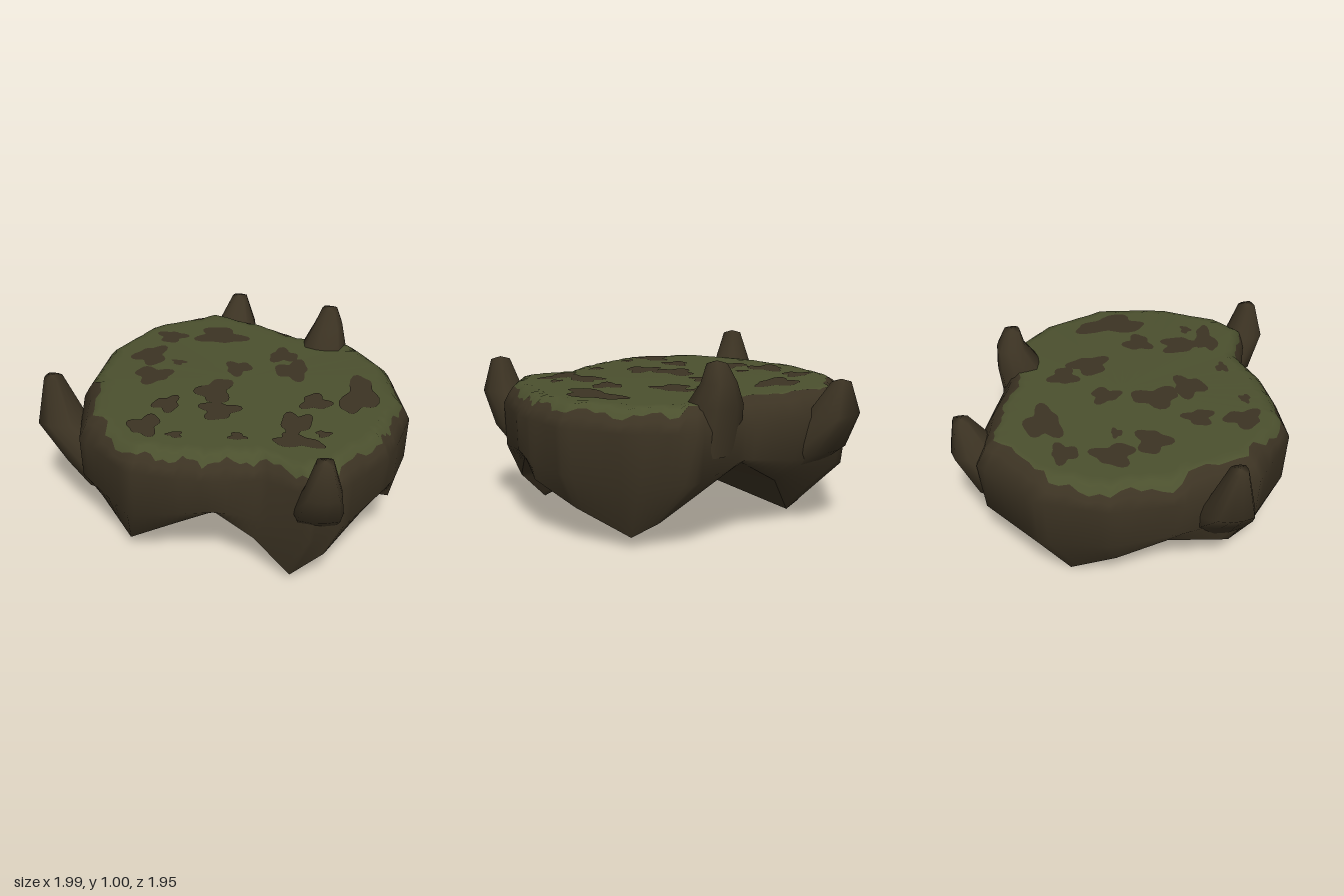
import * as THREE from 'three';

const rock = new THREE.MeshStandardMaterial({ color: 0x3c3323 });
rock.name = 'rockBrown';
const moss = new THREE.MeshStandardMaterial({ color: 0x4b502e });
moss.name = 'mossGreen';

const TOP = 0.775;

// Rim columns: shoulder x, z, then the lower edge point x, y, z
const columns = [
  [1, 0, 0.9, 0.2, 0], [0.97, 0.28, 0.94, 0.31, 0.28], [0.94, 0.42, 0.89, 0.41, 0.42],
  [0.77, 0.74, 0.67, 0.2, 0.73], [0.62, 0.86, 0.49, 0.03, 0.74], [0.34, 0.78, 0.29, 0.24, 0.74],
  [0.1, 0.86, 0.09, 0.42, 0.8], [-0.1, 0.88, -0.13, 0.29, 0.78], [-0.36, 0.88, -0.42, 0.07, 0.68],
  [-0.7, 0.63, -0.68, 0.22, 0.48], [-0.83, 0.2, -0.78, 0.36, 0.12], [-0.84, -0.2, -0.73, 0.22, -0.15],
  [-0.69, -0.58, -0.54, 0, -0.38], [-0.35, -0.85, -0.27, 0.03, -0.5], [-0.04, -0.79, 0, 0.28, -0.62],
  [0.3, -0.66, 0.29, 0.44, -0.62], [0.63, -0.62, 0.66, 0.14, -0.38], [0.86, -0.37, 0.76, 0.06, -0.27],
];

// Horn sections from the buried root up: x, y, z, half width
const horns = {
  rightHorn: [[-0.55, 0.3, 0.43, 0.16], [-0.66, 0.45, 0.43, 0.17], [-0.88, 0.64, 0.43, 0.115], [-0.9, 0.9, 0.45, 0.045]],
  frontHorn: [[0.6, 0.32, 0.6, 0.1], [0.63, 0.5, 0.75, 0.13], [0.67, 0.69, 0.87, 0.095], [0.675, 0.87, 0.88, 0.045]],
  backHorn: [[-0.2, 0.28, -0.5, 0.14], [-0.2, 0.45, -0.7, 0.17], [-0.2, 0.66, -0.86, 0.12], [-0.19, 0.84, -0.91, 0.045]],
  rearLeftHorn: [[0.42, 0.5, -0.5, 0.14], [0.42, 0.76, -0.55, 0.125], [0.435, 0.88, -0.59, 0.08], [0.44, 0.98, -0.58, 0.045]],
};

// Bare patches on the moss: x, z, half width, half depth
const patches = [
  [-0.48, -0.39, 0.08, 0.07], [-0.2, -0.47, 0.14, 0.1], [-0.53, -0.13, 0.09, 0.11], [-0.45, 0.09, 0.1, 0.09],
  [0.22, -0.31, 0.08, 0.08], [0.31, -0.15, 0.09, 0.11], [0, -0.1, 0.07, 0.08], [0.72, 0.04, 0.09, 0.2],
  [-0.06, 0.18, 0.09, 0.13], [0.01, 0.38, 0.1, 0.09], [0.5, 0.17, 0.08, 0.08], [-0.28, 0.38, 0.07, 0.08],
  [0.44, 0.42, 0.08, 0.12], [0.48, 0.58, 0.13, 0.06], [-0.33, 0.62, 0.08, 0.1],
  [-0.35, -0.09, 0.04, 0.03], [0.17, 0.61, 0.045, 0.035], [-0.15, 0.67, 0.04, 0.03], [0.6, 0.48, 0.04, 0.03],
];

// Joins closed rings of points, ordered from bottom to top
function loft(rings, splitAt = rings.length - 1) {
  const n = rings[0].length, index = [];
  for (let r = 0; r < rings.length - 1; r++) {
    for (let i = 0; i < n; i++) {
      const a = r * n + i, b = r * n + (i + 1) % n;
      index.push(a, a + n, b, a + n, b + n, b);
    }
  }
  const g = new THREE.BufferGeometry();
  g.setAttribute('position', new THREE.Float32BufferAttribute(rings.flat(2), 3));
  g.setIndex(index);
  g.addGroup(0, splitAt * n * 6, 0);
  g.addGroup(splitAt * n * 6, index.length - splitAt * n * 6, 1);
  g.computeVertexNormals();
  return g;
}

function add(group, name, geometry, material) {
  const mesh = new THREE.Mesh(geometry, material);
  mesh.name = name;
  group.add(mesh);
}

// Subdivide the rim so the moss border can be ragged
function rimSamples() {
  const sub = 7;
  return columns.flatMap((c, i) => {
    const next = columns[(i + 1) % columns.length];
    return Array.from({ length: sub }, (_, k) => c.map((v, j) => v + (next[j] - v) * k / sub));
  });
}

// Point on the rounded rim: t = 1 is the shoulder, t <= 0 the flat top
function rimPoint([x, z], t) {
  const s = 1 - 0.12 * (1 - t) / Math.hypot(x, z);
  return [x * s, TOP - 0.13 * Math.max(t, 0) ** 2, z * s];
}

// How far down the rim the moss reaches; it stops short near the back and right horns
function mossLimit([x, z], i) {
  const base = z < -0.55 && x < 0.75 ? 0.05 : x < -0.6 && z > 0.2 ? 0.2 : 0.58;
  return base + 0.1 * Math.sin(i * 0.9) + 0.07 * Math.sin(i * 2.3 + 1);
}

// Squarish tapering horn, its flat side turned the way it leans
function hornGeometry(sections) {
  const [root, next] = sections;
  const yaw = Math.atan2(next[2] - root[2], next[0] - root[0]);
  const rings = sections.map(([x, y, z, w]) => Array.from({ length: 12 }, (_, i) => {
    const a = (i + 0.5) / 12 * Math.PI * 2;
    const r = w / (Math.cos(a) ** 4 + Math.sin(a) ** 4) ** 0.25;
    return [x + r * Math.cos(a + yaw), y, z + r * Math.sin(a + yaw)];
  }));
  const [x, y, z] = sections[sections.length - 1];
  rings.push(rings[0].map(() => [x, y + 0.015, z]));
  return loft(rings);
}

// Thin wobbly blob lying on the moss
function patchGeometry([x, z, w, d], seed) {
  const outline = Array.from({ length: 32 }, (_, i) => {
    const a = i / 32 * Math.PI * 2;
    const r = 1 + 0.22 * Math.sin(3 * a + seed * 2.1) + 0.14 * Math.sin(5 * a + seed * 1.3);
    return new THREE.Vector2(x + w * r * Math.cos(a), -z + d * r * Math.sin(a));
  });
  return new THREE.ShapeGeometry(new THREE.Shape(outline)).rotateX(-Math.PI / 2).translate(0, TOP + 0.004, 0);
}

export function createModel() {
  const group = new THREE.Group();
  group.name = 'mossyRockPlatform';
  const rim = rimSamples();
  const limits = rim.map(mossLimit);
  const ringAt = (f) => rim.map((c, i) => rimPoint(c, f(limits[i])));
  const foot = rim.map(([, , x, y, z]) => [x, y, z]);
  const waist = rim.map(([x, z, fx, fy, fz]) => [x + (fx - x) * 0.1, 0.34 + 0.27 * fy, z + (fz - z) * 0.1]);

  // Rocky sides with the moss cap on top
  add(group, 'rockBody', loft([
    foot, waist, ringAt(() => 1), ringAt((t) => (t + 1) / 2), ringAt((t) => t),
    ringAt((t) => t - 0.3), ringAt((t) => t - 0.7), rim.map(() => [0.05, TOP, 0]),
  ], 4), [rock, moss]);

  // Hollow underside between the four feet
  const centre = [0.16, 0.35, 0.28];
  const inner = foot.map((p) => p.map((v, j) => centre[j] + (v - centre[j]) * 0.6));
  add(group, 'underside', loft([foot.map(() => centre), inner, foot]), rock);

  // Four stubby horns around the rim
  for (const [name, sections] of Object.entries(horns)) add(group, name, hornGeometry(sections), rock);

  // Bare patches in the moss
  patches.forEach((p, i) => add(group, 'barePatch', patchGeometry(p, i), rock));
  return group;
}
